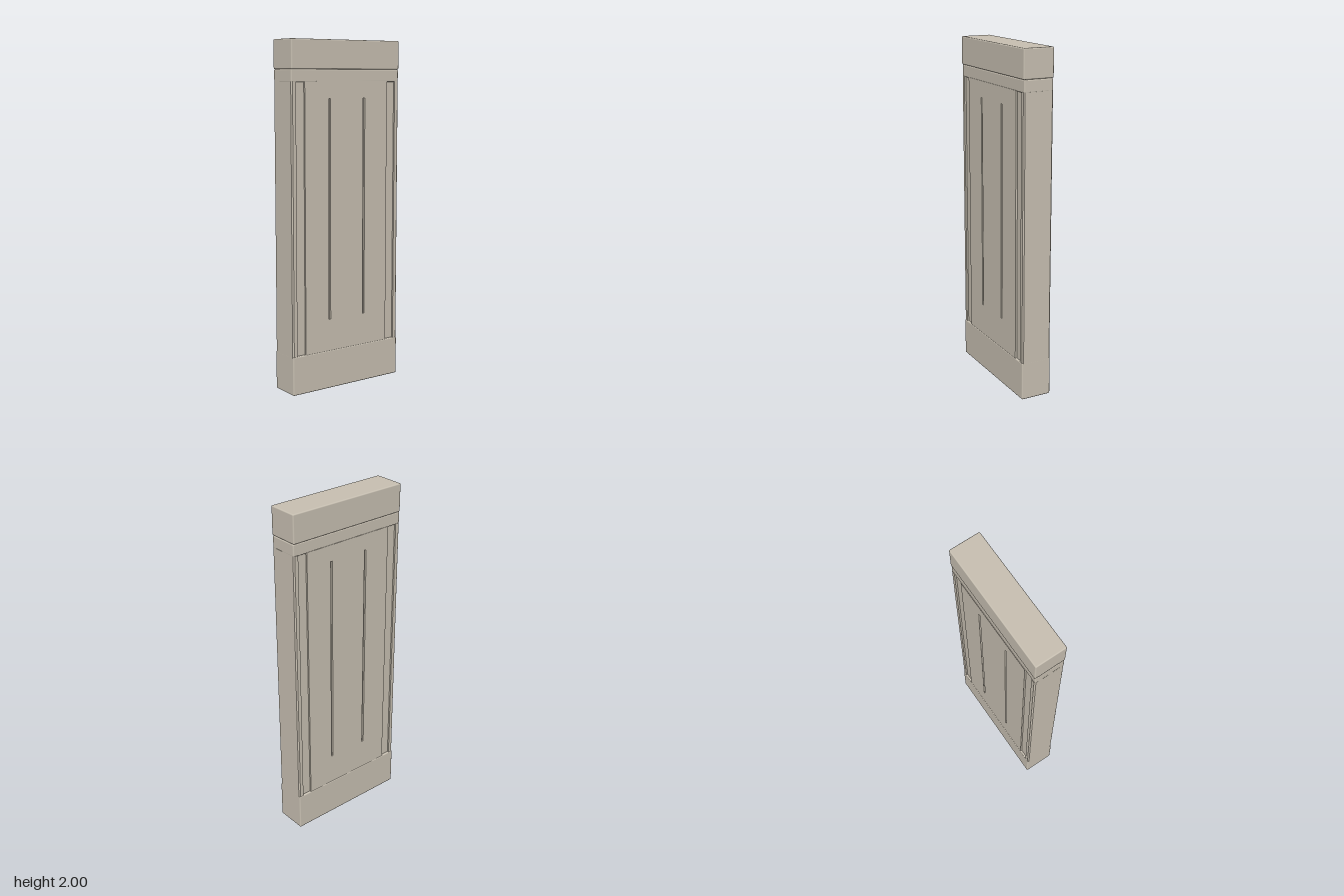
import * as THREE from 'three';
import { RoundedBoxGeometry } from 'three/addons/geometries/RoundedBoxGeometry.js';

const stone = new THREE.MeshStandardMaterial({ color: 0xc8c0b2 });
stone.name = 'warm stone';

// Half of one face, as [x, z] points running from the middle to the chamfered corner
function halfFace(z, grooved) {
  const groove = grooved
    ? [[0.115, z], [0.115, z - 0.012], [0.127, z - 0.012], [0.127, z]]
    : [];
  return [
    ...groove,
    [0.288, z], [0.288, z - 0.01], [0.346, z - 0.01], [0.346, z], // side channel
    [0.368, z], [0.375, z - 0.007],
  ];
}

// Vertical slab with channels on both faces, optionally with the two narrow grooves
function shaftGeometry(y0, y1, grooved) {
  const half = halfFace(0.09, grooved);
  const quadrants = [
    half.map(([x, z]) => [x, z]).reverse(),
    half.map(([x, z]) => [-x, z]),
    half.map(([x, z]) => [-x, -z]).reverse(),
    half.map(([x, z]) => [x, -z]),
  ];
  const shape = new THREE.Shape(quadrants.flat().map(([x, z]) => new THREE.Vector2(x, z)));
  const geometry = new THREE.ExtrudeGeometry(shape, { depth: y1 - y0, bevelEnabled: false });
  geometry.rotateX(-Math.PI / 2);
  geometry.translate(0, y0, 0);
  return geometry;
}

export function createModel() {
  const model = new THREE.Group();
  model.name = 'panelledPillar';

  const add = (name, geometry) => {
    const mesh = new THREE.Mesh(geometry, stone);
    mesh.name = name;
    model.add(mesh);
  };

  // Block with softened edges between two heights
  const block = (name, width, depth, y0, y1) => {
    const geometry = new RoundedBoxGeometry(width, y1 - y0, depth, 2, 0.007);
    geometry.translate(0, (y0 + y1) / 2, 0);
    add(name, geometry);
  };

  block('base', 0.75, 0.184, 0, 0.226);
  block('neckBand', 0.75, 0.176, 1.765, 1.836);
  block('capBlock', 0.75, 0.184, 1.836, 2);

  // Shaft, grooved along its middle stretch
  add('lowerShaft', shaftGeometry(0.22, 0.41, false));
  add('groovedShaft', shaftGeometry(0.41, 1.675, true));
  add('upperShaft', shaftGeometry(1.675, 1.77, false));

  return model;
}
